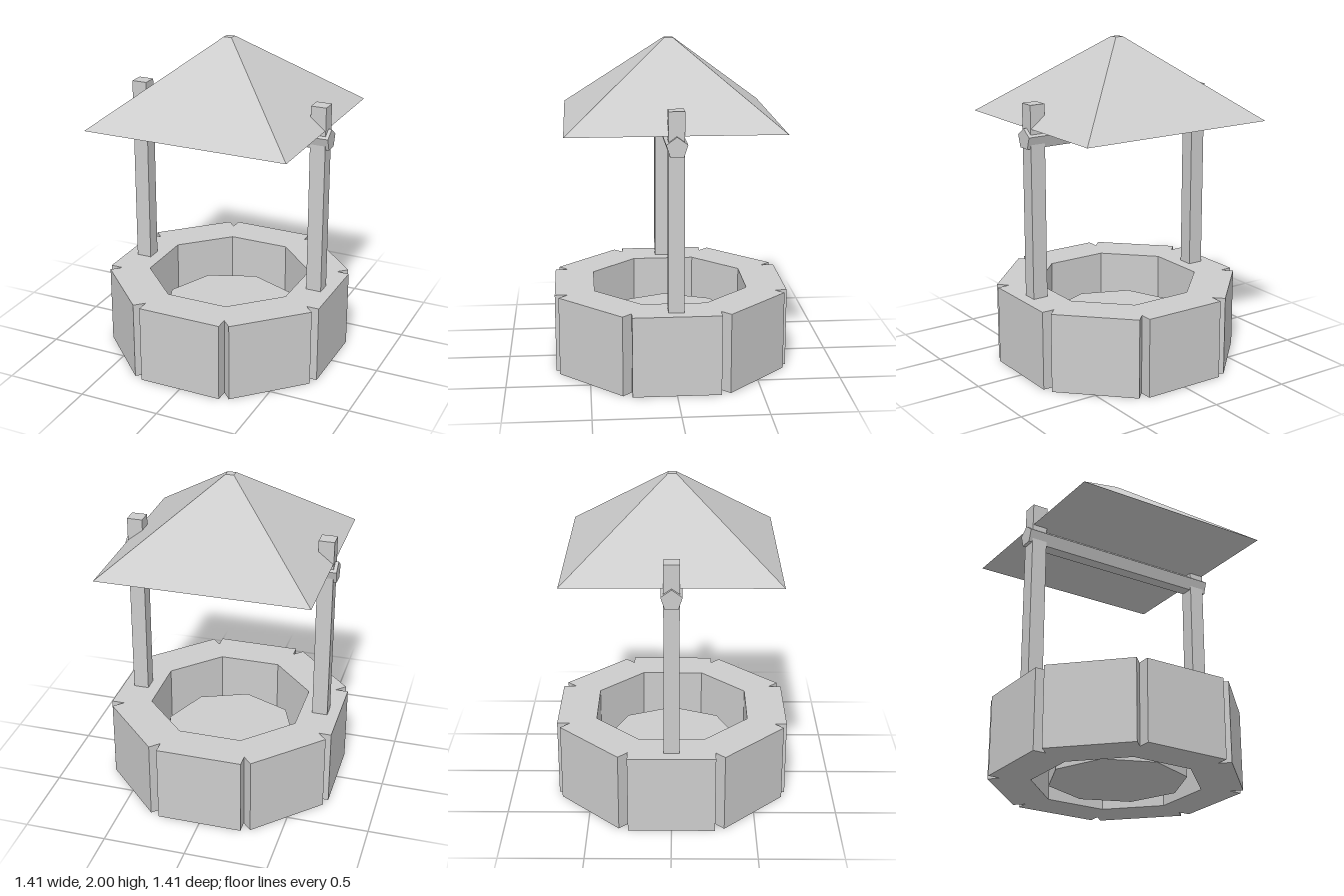
import * as THREE from 'three';

export function createModel() {
  const group = new THREE.Group();
  const stone = new THREE.MeshStandardMaterial({ color: 0xcccccc, flatShading: true });
  stone.name = 'plain grey';

  const add = (name, geometry, x = 0, y = 0, z = 0) => {
    const mesh = new THREE.Mesh(geometry, stone);
    mesh.name = name;
    mesh.position.set(x, y, z);
    group.add(mesh);
    return mesh;
  };

  // Octagonal wall: each side is a block face, with a V groove at every corner
  const sides = 8;
  const outline = [];
  const hole = [];
  for (let i = 0; i < sides; i++) {
    const a = (i / sides) * Math.PI * 2;
    for (const [out, along] of [[0.705, -0.26], [0.705, 0.26], [0.627, 0.26]]) {
      outline.push(new THREE.Vector2(
        out * Math.cos(a) - along * Math.sin(a),
        out * Math.sin(a) + along * Math.cos(a)));
    }
    const c = a + Math.PI / sides;
    hole.push(new THREE.Vector2(0.503 * Math.cos(c), 0.503 * Math.sin(c)));
  }
  const wallShape = new THREE.Shape(outline);
  wallShape.holes.push(new THREE.Path(hole));
  const wall = new THREE.ExtrudeGeometry(wallShape, { depth: 0.485, bevelEnabled: false });
  wall.rotateX(-Math.PI / 2);
  add('wellWall', wall);

  // Water block inside the wall
  add('water', new THREE.CylinderGeometry(0.413, 0.413, 0.235, sides), 0, 0.1375, 0);

  // Two posts standing on the wall
  for (const [name, s] of [['leftPost', 1], ['rightPost', -1]]) {
    add(name, new THREE.BoxGeometry(0.095, 1.21, 0.092), s * 0.587, 1.055, 0);
  }

  // Five-sided crossbeam, one edge pointing up
  const beam = new THREE.CylinderGeometry(0.065, 0.065, 1.31, 5);
  beam.rotateY(Math.PI / 2); // a corner on +x
  beam.rotateZ(Math.PI / 2); // axis along x, corner up
  add('crossbeam', beam, 0, 1.455, 0);

  // Pyramid roof with a small flat top
  const roof = new THREE.CylinderGeometry(0.025 * Math.SQRT2, 0.631 * Math.SQRT2, 0.48, 4);
  roof.rotateY(Math.PI / 4);
  add('roof', roof, 0, 1.76, 0);

  return group;
}
